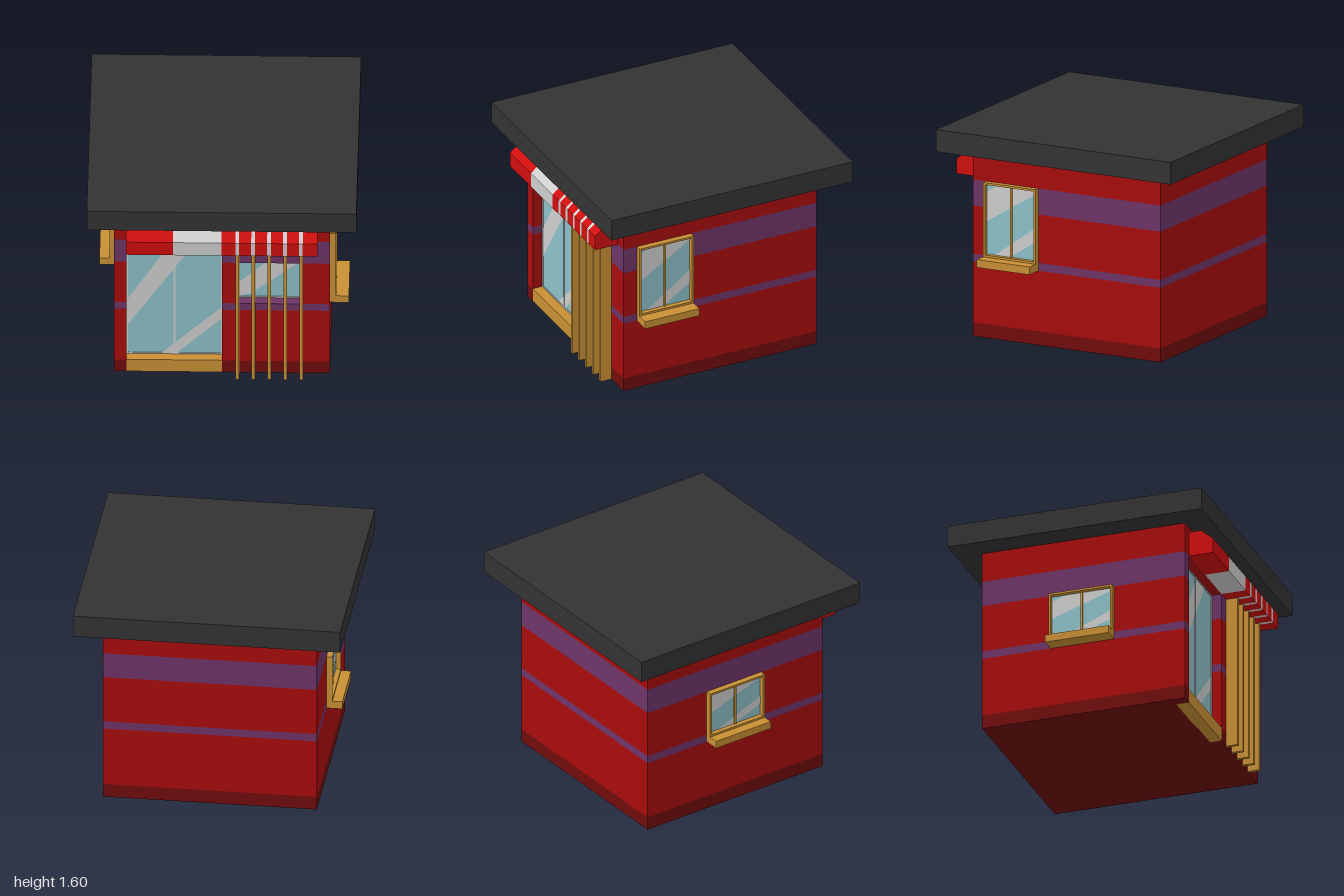
import * as THREE from 'three';

const mat = (name, color, side = THREE.FrontSide) => {
  const m = new THREE.MeshStandardMaterial({ color, side });
  m.name = name;
  return m;
};

export function createModel() {
  const model = new THREE.Group();
  model.name = 'shop';
  const red = mat('wallRed', 0xa80c0c);
  const darkRed = mat('plinthRed', 0x700c0c);
  const purple = mat('bandPurple', 0x6e3468);
  const charcoal = mat('roofCharcoal', 0x333333);
  const ochre = mat('woodOchre', 0xc89034);
  const glassBlue = mat('glassBlue', 0x8cc0c8);
  const white = mat('paleGrey', 0xcecece);
  const awningRed = mat('awningRed', 0xd00e0e);

  const add = (parent, name, geometry, material) => {
    const mesh = new THREE.Mesh(geometry, material);
    mesh.name = name;
    parent.add(mesh);
    return mesh;
  };
  // Box given by its minimum and maximum corners
  const box = (parent, name, material, [x0, y0, z0], [x1, y1, z1]) => {
    const mesh = add(parent, name, new THREE.BoxGeometry(x1 - x0, y1 - y0, z1 - z0), material);
    mesh.position.set((x0 + x1) / 2, (y0 + y1) / 2, (z0 + z1) / 2);
    return mesh;
  };
  const polygon = (points) => new THREE.Shape(points.map(([x, y]) => new THREE.Vector2(x, y)));

  // Walls: stacked colour bands, notched at the front for the door and window
  const W = 0.8, RECESS = 0.71;
  const door = [-0.71, 0], frontWindow = [0.11, 0.595];
  const bands = [
    ['plinth', darkRed, 0, 0.105, [door]],
    ['lowerWall', red, 0.105, 0.57, [door]],
    ['narrowBand', purple, 0.57, 0.63, [door]],
    ['middleWall', red, 0.63, 1.0, [door, frontWindow]],
    ['wideBand', purple, 1.0, 1.2, [door]],
    ['upperWall', red, 1.2, 1.43, []],
  ];
  for (const [name, material, y0, y1, notches] of bands) {
    const outline = [[-W, -W]];
    for (const [a, b] of notches) outline.push([a, -W], [a, -RECESS], [b, -RECESS], [b, -W]);
    outline.push([W, -W], [W, W], [-W, W]);
    const geometry = new THREE.ExtrudeGeometry(polygon(outline), { depth: y1 - y0, bevelEnabled: false });
    geometry.rotateX(-Math.PI / 2);
    add(model, name, geometry, material).position.y = y0;
  }

  // Roof slab and door step
  box(model, 'roof', charcoal, [-1, 1.43, -1], [1, 1.6, 1]);
  box(model, 'doorStep', ochre, [-0.71, 0, 0.7], [0, 0.108, 0.8]);

  // Two-pane glazing facing +z, centred on x = 0, with diagonal reflections
  const glazing = (name, w, y0, y1, t, depth, frameMaterial, reflections) => {
    const g = new THREE.Group();
    g.name = name;
    const h = w / 2, pane = 0.008;
    box(g, 'frameLeft', frameMaterial, [-h, y0, 0], [-h + t, y1, depth]);
    box(g, 'frameRight', frameMaterial, [h - t, y0, 0], [h, y1, depth]);
    box(g, 'frameTop', frameMaterial, [-h + t, y1 - t, 0], [h - t, y1, depth]);
    box(g, 'frameBottom', frameMaterial, [-h + t, y0, 0], [h - t, y0 + t, depth]);
    box(g, 'mullion', frameMaterial, [-0.008, y0 + t, 0], [0.008, y1 - t, Math.min(depth, 0.02)]);
    box(g, 'glass', glassBlue, [-h + t, y0 + t, 0], [h - t, y1 - t, pane]);
    for (const points of reflections) {
      const scaled = points.map(([u, v]) => [-h + t + u * (w - 2 * t), y0 + t + v * (y1 - y0 - 2 * t)]);
      add(g, 'reflection', new THREE.ShapeGeometry(polygon(scaled)), white).position.z = pane + 0.002;
    }
    model.add(g);
    return g;
  };

  // Sliding door and front window, set back in their recesses
  const slidingDoor = glazing('slidingDoor', 0.71, 0.108, 1.2, 0.01, 0.014, white, [
    [[0, 0.235], [0.79, 1], [0.53, 1], [0, 0.457]],
    [[0.37, 0], [1, 0.385], [1, 0.29], [0.53, 0]],
  ]);
  slidingDoor.position.set(-0.355, 0, RECESS);
  const shopWindow = glazing('frontWindow', 0.485, 0.63, 1.0, 0.01, 0.014, white, [
    [[0, 0], [0.2, 0.08], [1, 0.93], [1, 1], [0.53, 1], [0, 0.35]],
  ]);
  shopWindow.position.set(0.3525, 0, RECESS);

  // Side windows with projecting wooden frames and sills
  const streaks = [
    [[0, 0.47], [1, 0.945], [1, 1], [0.23, 1], [0, 0.89]],
    [[0.16, 0], [1, 0.47], [1, 0.27], [0.47, 0]],
  ];
  for (const [name, side, z0, z1, top, sillDepth] of [
    ['leftWindow', 1, 0.24, 0.69, 1.2, 0.14],
    ['rightWindow', -1, -0.26, 0.24, 1.0, 0.12],
  ]) {
    const w = z1 - z0;
    const g = glazing(name, w, 0.63, top, 0.016, 0.045, ochre, streaks);
    box(g, 'sill', ochre, [-w / 2, 0.57, 0], [w / 2, 0.63, sillDepth]);
    g.rotation.y = side * Math.PI / 2;
    g.position.set(side * W, 0, (z0 + z1) / 2);
  }

  // Upright slats, with matching pale stripes on the awning above
  const slatX = [0, 1, 2, 3, 4].map((i) => 0.1155 + i * 0.1182);
  for (const x of slatX) box(model, 'slat', ochre, [x - 0.013, 0, 0.8], [x + 0.013, 1.2, 0.89]);

  // Awning: one profile extruded in alternating coloured sections
  const profile = polygon([[0.8, 1.2], [0.99, 1.2], [0.99, 1.315], [0.895, 1.395], [0.8, 1.395]]);
  const edges = [-0.71, -0.36, 0, ...slatX.flatMap((x) => [x - 0.014, x + 0.014]), 0.71];
  for (let i = 0; i < edges.length - 1; i++) {
    const geometry = new THREE.ExtrudeGeometry(profile, { depth: edges[i + 1] - edges[i], bevelEnabled: false });
    geometry.rotateY(-Math.PI / 2);
    add(model, 'awningStripe', geometry, i % 2 ? white : awningRed).position.x = edges[i + 1];
  }

  return model;
}
